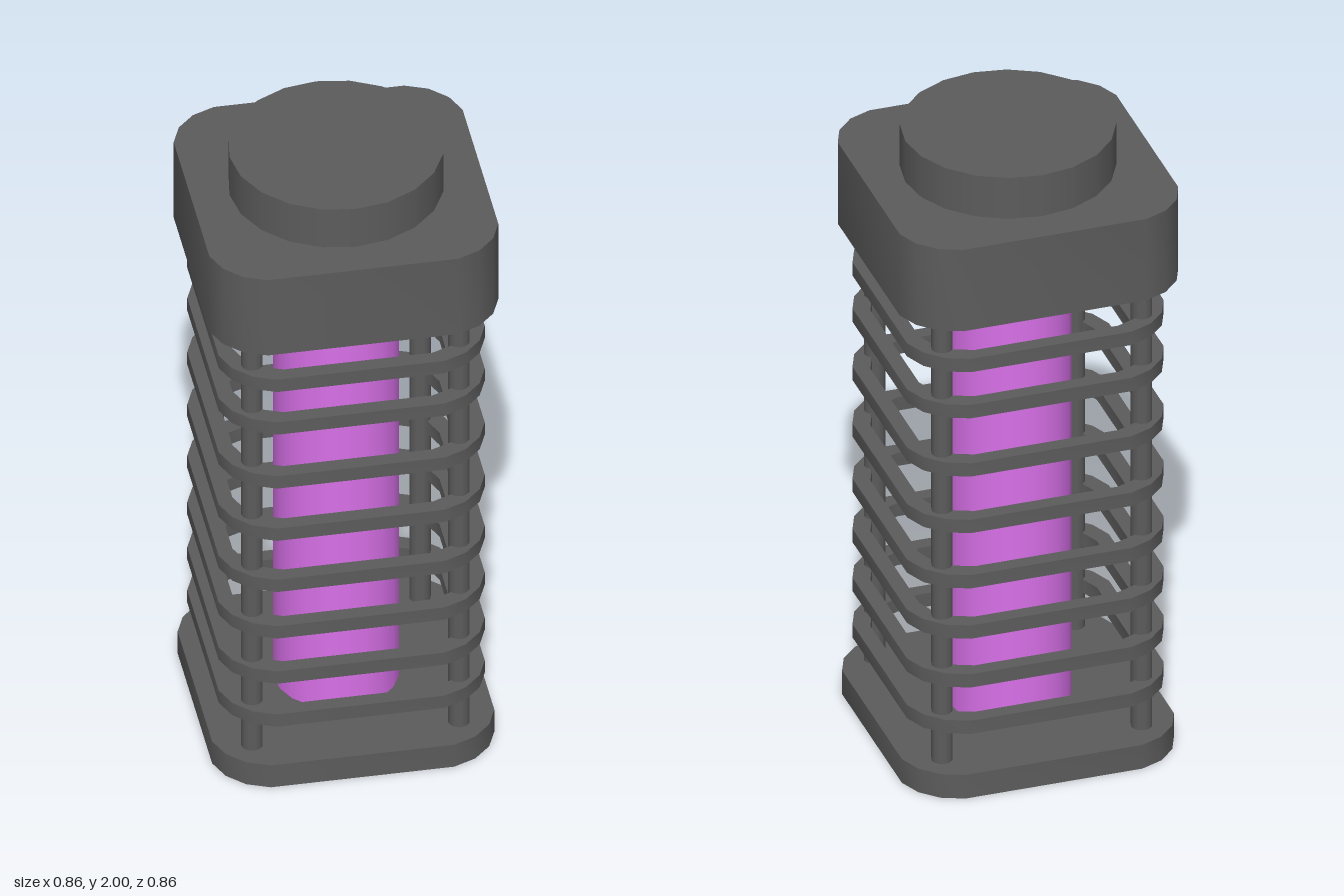
import * as THREE from 'three';
import { toCreasedNormals } from 'three/addons/utils/BufferGeometryUtils.js';

const dark = new THREE.MeshStandardMaterial({ color: 0x5c5c5c });
const purple = new THREE.MeshStandardMaterial({ color: 0xd870e8 });

// Outline of a square with three-facet rounded corners (half width h, corner size c)
function roundedSquare(h, c) {
  const corner = [[h, h - c], [h - 0.19 * c, h - 0.54 * c], [h - 0.54 * c, h - 0.19 * c], [h - c, h]];
  const points = [];
  for (let q = 0; q < 4; q++) {
    for (const [x, y] of corner) {
      points.push(new THREE.Vector2(x, y).rotateAround(new THREE.Vector2(), q * Math.PI / 2));
    }
  }
  return points;
}

// Horizontal slab with its underside at y = 0, optionally hollow
function slab(outline, height, hole) {
  const shape = new THREE.Shape(outline);
  if (hole) shape.holes.push(new THREE.Path(hole));
  const geometry = new THREE.ExtrudeGeometry(shape, { depth: height, bevelEnabled: false });
  geometry.rotateX(-Math.PI / 2);
  return toCreasedNormals(geometry, 0.7);
}

export function createModel() {
  const model = new THREE.Group();
  model.name = 'cagedLantern';

  function add(name, geometry, material, x, y, z) {
    const mesh = new THREE.Mesh(geometry, material);
    mesh.name = name;
    mesh.position.set(x, y, z);
    model.add(mesh);
  }

  // Base, cap and round lid
  add('base', slab(roundedSquare(0.42, 0.147), 0.08), dark, 0, 0, 0);
  add('cap', slab(roundedSquare(0.43, 0.147), 0.275), dark, 0, 1.587, 0);
  add('lid', new THREE.CylinderGeometry(0.317, 0.317, 0.14, 20), dark, 0, 1.93, 0);

  // Glowing core
  add('core', new THREE.CylinderGeometry(0.186, 0.186, 1.54, 20), purple, 0, 0.835, 0);

  // Corner rods
  const rod = new THREE.CylinderGeometry(0.032, 0.032, 1.54, 12);
  for (const x of [-0.308, 0.308]) {
    for (const z of [-0.308, 0.308]) add('cornerRod', rod, dark, x, 0.835, z);
  }

  // Cage rings
  const ring = slab(roundedSquare(0.396, 0.147), 0.045, roundedSquare(0.35, 0.128));
  for (const y of [0.223, 0.38, 0.545, 0.715, 0.902, 1.093, 1.29, 1.446]) {
    add('cageRing', ring, dark, 0, y - 0.0225, 0);
  }

  return model;
}
